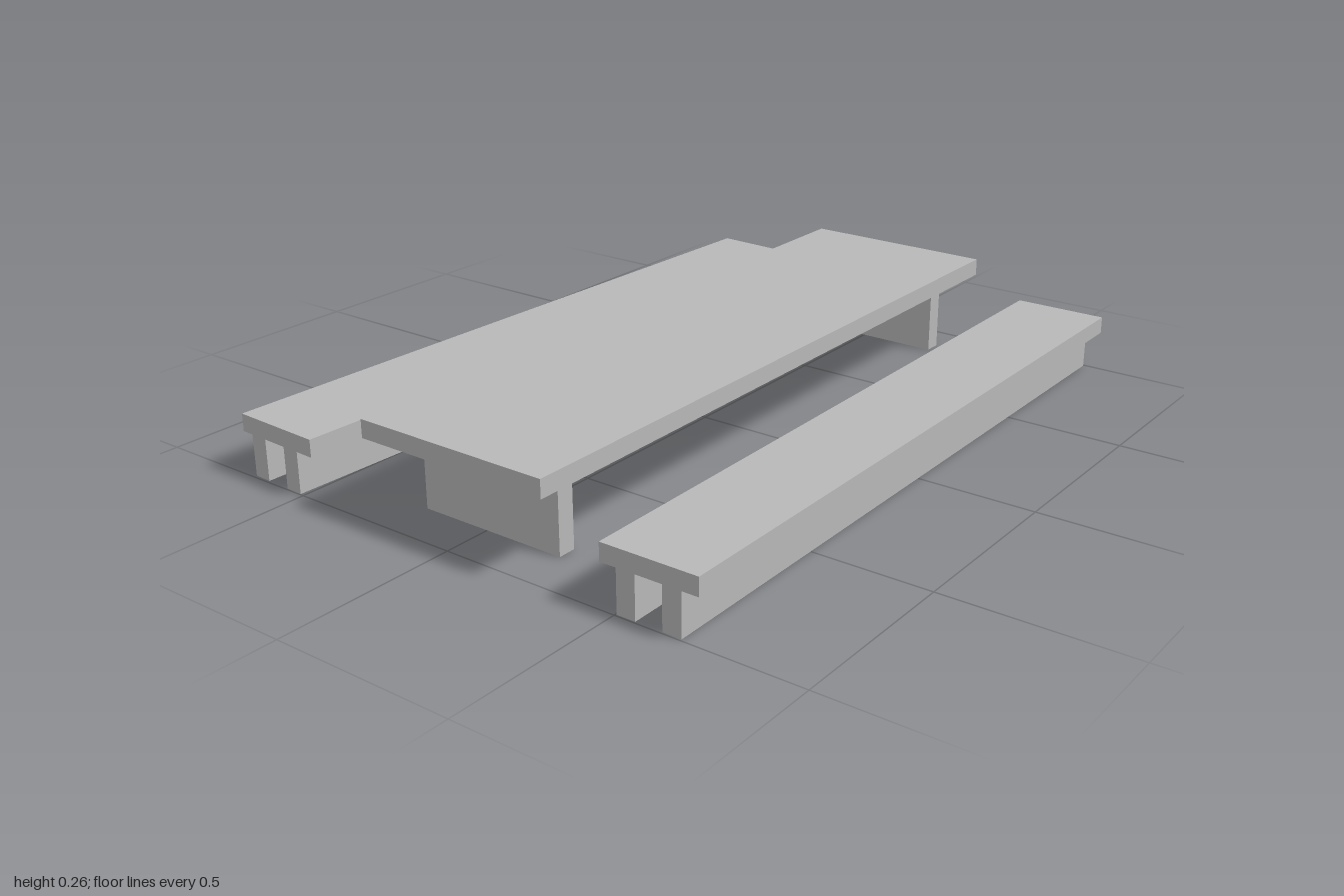
import * as THREE from 'three';

const grey = new THREE.MeshStandardMaterial({ color: 0xb8b8b8 });
grey.name = 'plain grey';

// Box given by its lower and upper limits on each axis
function board(name, [x0, x1], [y0, y1], [z0, z1]) {
  const mesh = new THREE.Mesh(new THREE.BoxGeometry(x1 - x0, y1 - y0, z1 - z0), grey);
  mesh.position.set((x0 + x1) / 2, (y0 + y1) / 2, (z0 + z1) / 2);
  mesh.name = name;
  return mesh;
}

// Bench: a seat plank on two full-length rails, turned slightly about y
function bench(name, z, turn, railShift) {
  const group = new THREE.Group();
  group.name = name;
  group.add(board('seat', [-0.995, 0.995], [0.114, 0.162], [-0.133, 0.133]));
  for (const side of [-1, 1]) {
    const c = side * 0.062 + railShift;
    group.add(board('rail', [-0.995, 0.995], [0, 0.114], [c - 0.0255, c + 0.0255]));
  }
  group.position.z = z;
  group.rotation.y = turn;
  return group;
}

export function createModel() {
  const model = new THREE.Group();
  model.name = 'picnicTable';

  // Table with a panel leg near each end
  const table = new THREE.Group();
  table.name = 'table';
  table.add(board('tableTop', [-0.997, 0.992], [0.215, 0.264], [-0.267, 0.297]));
  for (const x of [-0.842, 0.864]) {
    table.add(board('tableLeg', [x - 0.025, x + 0.025], [0, 0.215], [-0.2, 0.229]));
  }

  model.add(table, bench('frontBench', 0.586, 0.005, 0), bench('backBench', -0.553, -0.0367, -0.01));
  return model;
}
